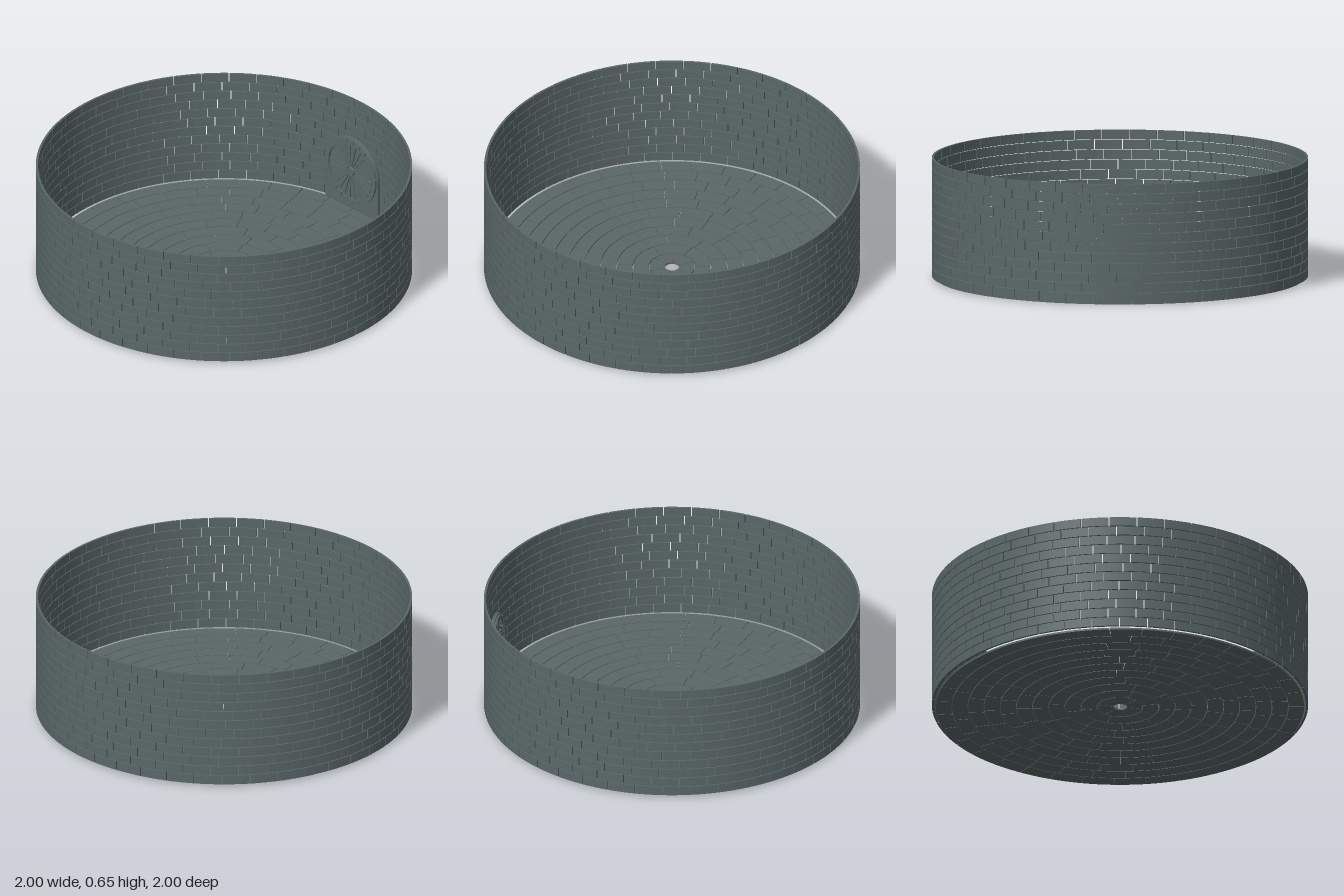
import * as THREE from 'three';
import { mergeGeometries } from 'three/addons/utils/BufferGeometryUtils.js';

// One curved stone: a sector of a ring, extruded along z
function sector(r0, r1, a0, a1, depth, segments) {
  const s = new THREE.Shape();
  s.absarc(0, 0, r1, a0, a1, false);
  s.absarc(0, 0, r0, a1, a0, true);
  return new THREE.ExtrudeGeometry(s, { depth, bevelEnabled: false, curveSegments: segments });
}

// A full ring of stones with a narrow joint between neighbours
function stoneRing(r0, r1, count, offset, depth, gap, segments) {
  const step = (Math.PI * 2) / count;
  const half = gap / (r0 + r1);
  const stones = [];
  for (let i = 0; i < count; i++) {
    const a = offset + i * step;
    stones.push(sector(r0, r1, a + half, a + step - half, depth, segments));
  }
  return mergeGeometries(stones);
}

export function createModel() {
  const model = new THREE.Group();
  const stone = new THREE.MeshStandardMaterial({ color: 0x5a6767 });
  stone.name = 'grey stone';

  const add = (parent, geometry, name) => {
    const mesh = new THREE.Mesh(geometry, stone);
    mesh.name = name;
    parent.add(mesh);
    return mesh;
  };

  // Thin round wall: twelve courses, every other one shifted by half a brick
  const wall = new THREE.Group();
  wall.name = 'wall';
  model.add(wall);
  const rows = 12, base = 0.012, rowHeight = 0.0533, bricks = 42;
  for (let i = 0; i < rows; i++) {
    const offset = ((i % 2) / 2 + 0.13 * Math.sin(i * 2.4)) * (Math.PI * 2 / bricks);
    const g = stoneRing(0.988, 1, bricks, offset, rowHeight - 0.004, 0.005, 4);
    g.rotateX(-Math.PI / 2).translate(0, base + i * rowHeight, 0);
    add(wall, g, 'brickCourse' + (i + 1));
  }

  // Floor: concentric rings of paving around a central drain hole
  const floor = new THREE.Group();
  floor.name = 'floor';
  model.add(floor);
  const rings = 11, hole = 0.038, ringWidth = 0.0858;
  for (let i = 0; i < rings; i++) {
    const r0 = hole + i * ringWidth, r1 = r0 + ringWidth - 0.004;
    const count = Math.max(6, Math.round(Math.PI * (r0 + r1) / 0.17));
    const g = stoneRing(r0, r1, count, i * 1.7, 0.01, 0.003, count < 12 ? 10 : 5);
    g.rotateX(-Math.PI / 2);
    add(floor, g, 'pavingRing' + (i + 1));
  }

  // Arched slab standing against the back wall
  const door = new THREE.Group();
  door.name = 'archedDoor';
  door.position.set(0, 0.235, -0.967);
  model.add(door);
  const arch = new THREE.Shape();
  arch.moveTo(-0.198, -0.225);
  arch.lineTo(0.198, -0.225);
  arch.lineTo(0.198, 0);
  arch.absarc(0, 0, 0.198, 0, Math.PI, false);
  arch.closePath();
  add(door, new THREE.ExtrudeGeometry(arch, {
    depth: 0.012, bevelEnabled: true, bevelThickness: 0.004, bevelSize: 0.003,
    bevelOffset: -0.003, bevelSegments: 2, curveSegments: 32,
  }), 'doorSlab');

  // Round rosette of wedges with a hub on the slab
  const rosette = new THREE.Group();
  rosette.name = 'rosette';
  rosette.position.z = 0.014;
  door.add(rosette);
  add(rosette, stoneRing(0.03, 0.16, 24, 0, 0.009, 0.006, 2), 'wedges');
  add(rosette, stoneRing(0.165, 0.19, 24, Math.PI / 24, 0.013, 0.003, 3), 'rim');
  const hub = new THREE.CylinderGeometry(0.022, 0.026, 0.012, 24);
  hub.rotateX(Math.PI / 2).translate(0, 0, 0.006);
  add(rosette, hub, 'hub');

  return model;
}
